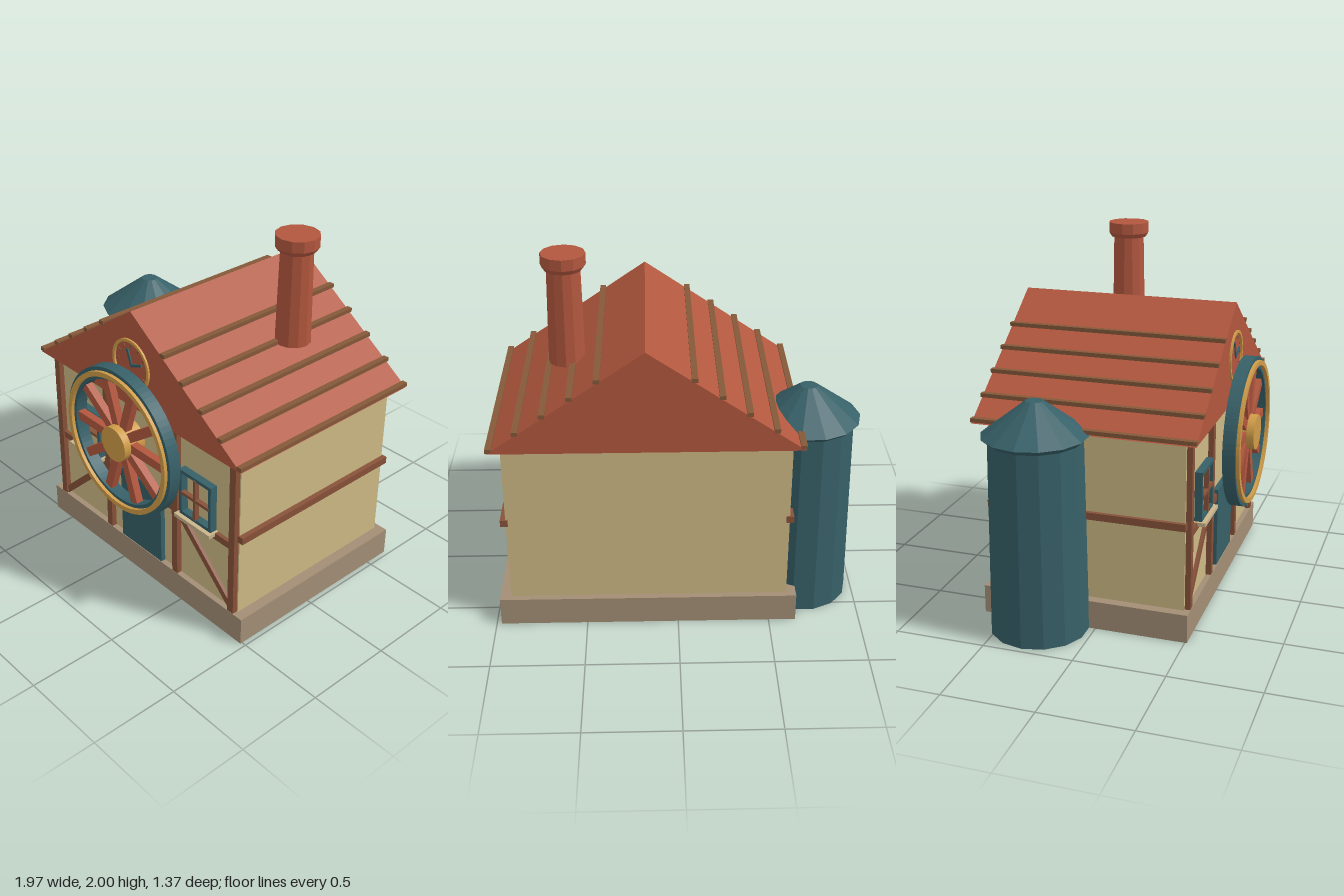
import * as THREE from 'three';

const mat = (name, color, extra = {}) => {
  const m = new THREE.MeshStandardMaterial({ color, ...extra });
  m.name = name;
  return m;
};

export function createModel() {
  const red = mat('brick red', 0xb2573e, { flatShading: true });
  const brown = mat('timber brown', 0x88523a);
  const batten = mat('batten brown', 0x85593a);
  const cream = mat('plaster cream', 0xcdb985);
  const stone = mat('stone', 0xa38e75);
  const teal = mat('teal', 0x376068, { flatShading: true });
  const gold = mat('gold', 0xd09c48);
  const sillMat = mat('pale sill', 0xc9b58c);

  const model = new THREE.Group();
  model.name = 'millHouse';
  const CX = 0.163; // centre line of the house

  const add = (name, geo, material, parent = model) => {
    const m = new THREE.Mesh(geo, material);
    m.name = name;
    parent.add(m);
    return m;
  };
  // box given by its limits on each axis
  const box = (name, x0, x1, y0, y1, z0, z1, material, parent) => {
    const m = add(name, new THREE.BoxGeometry(x1 - x0, y1 - y0, z1 - z0), material, parent);
    m.position.set((x0 + x1) / 2, (y0 + y1) / 2, (z0 + z1) / 2);
    return m;
  };
  // bar between two points of the front plane
  const bar = (name, ax, ay, bx, by, width, z0, z1, material, parent) => {
    const len = Math.hypot(bx - ax, by - ay);
    const m = box(name, -len / 2, len / 2, -width / 2, width / 2, z0, z1, material, parent);
    m.position.x = (ax + bx) / 2;
    m.position.y = (ay + by) / 2;
    m.rotation.z = Math.atan2(by - ay, bx - ax);
    return m;
  };
  // flat ring facing +z
  const ring = (name, outer, inner, z0, z1, material, parent) => {
    const s = new THREE.Shape().absarc(0, 0, outer, 0, Math.PI * 2, false);
    s.holes.push(new THREE.Path().absarc(0, 0, inner, 0, Math.PI * 2, true));
    const g = new THREE.ExtrudeGeometry(s, { depth: z1 - z0, bevelEnabled: false, curveSegments: 40 });
    g.translate(0, 0, z0);
    return add(name, g, material, parent);
  };
  const lathe = (name, pts, sides, material) =>
    add(name, new THREE.LatheGeometry(pts.map(p => new THREE.Vector2(...p)), sides, Math.PI / 2), material);

  // house body
  box('foundation', -0.648, 0.974, 0, 0.16, -0.645, 0.512, stone);
  box('walls', -0.595, 0.915, 0.16, 1.1, -0.61, 0.48, cream);

  // gabled roof
  const gable = new THREE.Shape();
  gable.moveTo(CX - 0.815, 1.1);
  gable.lineTo(CX + 0.815, 1.1);
  gable.lineTo(CX, 1.66);
  const roofGeo = new THREE.ExtrudeGeometry(gable, { depth: 1.225, bevelEnabled: false });
  roofGeo.translate(0, 0, -0.68);
  add('roof', roofGeo, red);
  for (const side of [-1, 1]) {
    for (let i = 0; i < 5; i++) {
      const x = CX + side * (0.243 + i * 0.14);
      const y = 1.505 - i * 0.0965;
      box('roofBatten', x - 0.016, x + 0.016, y - 0.011, y + 0.011, -0.684, 0.548, batten);
    }
  }

  // chimney
  const chimney = lathe('chimney', [[0, 1.4], [0.097, 1.4], [0.088, 1.915], [0.1, 1.915],
    [0.117, 1.94], [0.117, 2], [0, 2]], 12, red);
  chimney.position.set(0.577, 0, -0.205);

  // silo
  const silo = lathe('silo', [[0, 0], [0.268, 0], [0.253, 1.08], [0, 1.08]], 14, teal);
  const siloRoof = lathe('siloRoof', [[0, 1.06], [0.24, 1.06], [0.285, 1.1], [0.047, 1.28], [0, 1.28]], 14, teal);
  for (const part of [silo, siloRoof]) part.position.set(-0.702, 0, -0.297);

  // timber frame, door and windows, mirrored about the centre line
  box('crossBeam', -0.58, 0.906, 0.557, 0.597, 0.475, 0.502, brown);
  box('door', -0.006, 0.332, 0.16, 0.62, 0.475, 0.508, teal);
  for (const side of [-1, 1]) {
    for (const d of [0.284, 0.724]) {
      const x = CX + side * d;
      box('post', x - 0.021, x + 0.021, 0.16, 1.1, 0.475, 0.51, brown);
    }
    bar('brace', CX + side * 0.715, 0.172, CX + side * 0.29, 0.572, 0.038, 0.475, 0.498, brown);
    const rx = CX + side * 0.76;
    box('sideRail', rx - 0.02, rx + 0.02, 0.62, 0.66, -0.62, 0.487, brown);

    const win = new THREE.Group();
    win.name = 'window';
    win.position.set(CX + side * 0.459, 0.737, 0);
    model.add(win);
    for (const s of [-1, 1]) {
      box('windowStile', s * 0.111 - 0.01, s * 0.111 + 0.01, -0.139, 0.139, 0.475, 0.522, teal, win);
      box('windowRail', -0.121, 0.121, s * 0.129 - 0.01, s * 0.129 + 0.01, 0.475, 0.522, teal, win);
    }
    box('mullion', -0.009, 0.009, -0.125, 0.125, 0.5, 0.527, brown, win);
    box('transom', -0.105, 0.105, -0.009, 0.009, 0.5, 0.526, brown, win);
    box('sill', -0.136, 0.136, -0.159, -0.138, 0.475, 0.546, sillMat, win);
  }

  // gable clock
  const clock = new THREE.Group();
  clock.name = 'clock';
  clock.position.set(CX, 1.356, 0);
  model.add(clock);
  ring('clockRim', 0.145, 0.129, 0.54, 0.556, gold, clock);
  for (let i = 0; i < 12; i++) {
    const a = i * Math.PI / 6, c = Math.cos(a), s = Math.sin(a);
    bar('hourMark', c * 0.1, s * 0.1, c * 0.118, s * 0.118, 0.008, 0.544, 0.549, brown, clock);
  }
  bar('hourHand', 0.005, -0.01, -0.03, 0.085, 0.016, 0.544, 0.552, teal, clock);
  bar('minuteHand', 0, -0.005, 0.085, 0.03, 0.014, 0.544, 0.553, teal, clock);

  // big spoked wheel
  const wheel = new THREE.Group();
  wheel.name = 'wheel';
  wheel.position.set(CX, 0.928, 0);
  model.add(wheel);
  ring('wheelRim', 0.423, 0.355, 0.585, 0.655, teal, wheel);
  ring('wheelBand', 0.402, 0.374, 0.65, 0.674, gold, wheel);
  for (let i = 0; i < 10; i++) {
    const a = i * Math.PI / 5, c = Math.cos(a), s = Math.sin(a);
    bar('spoke', c * 0.06, s * 0.06, c * 0.36, s * 0.36, 0.052, 0.6, 0.642, red, wheel);
  }
  const hub = add('hub', new THREE.CylinderGeometry(0.099, 0.099, 0.135, 32), gold, wheel);
  hub.rotation.x = Math.PI / 2;
  hub.position.z = 0.617;

  return model;
}
